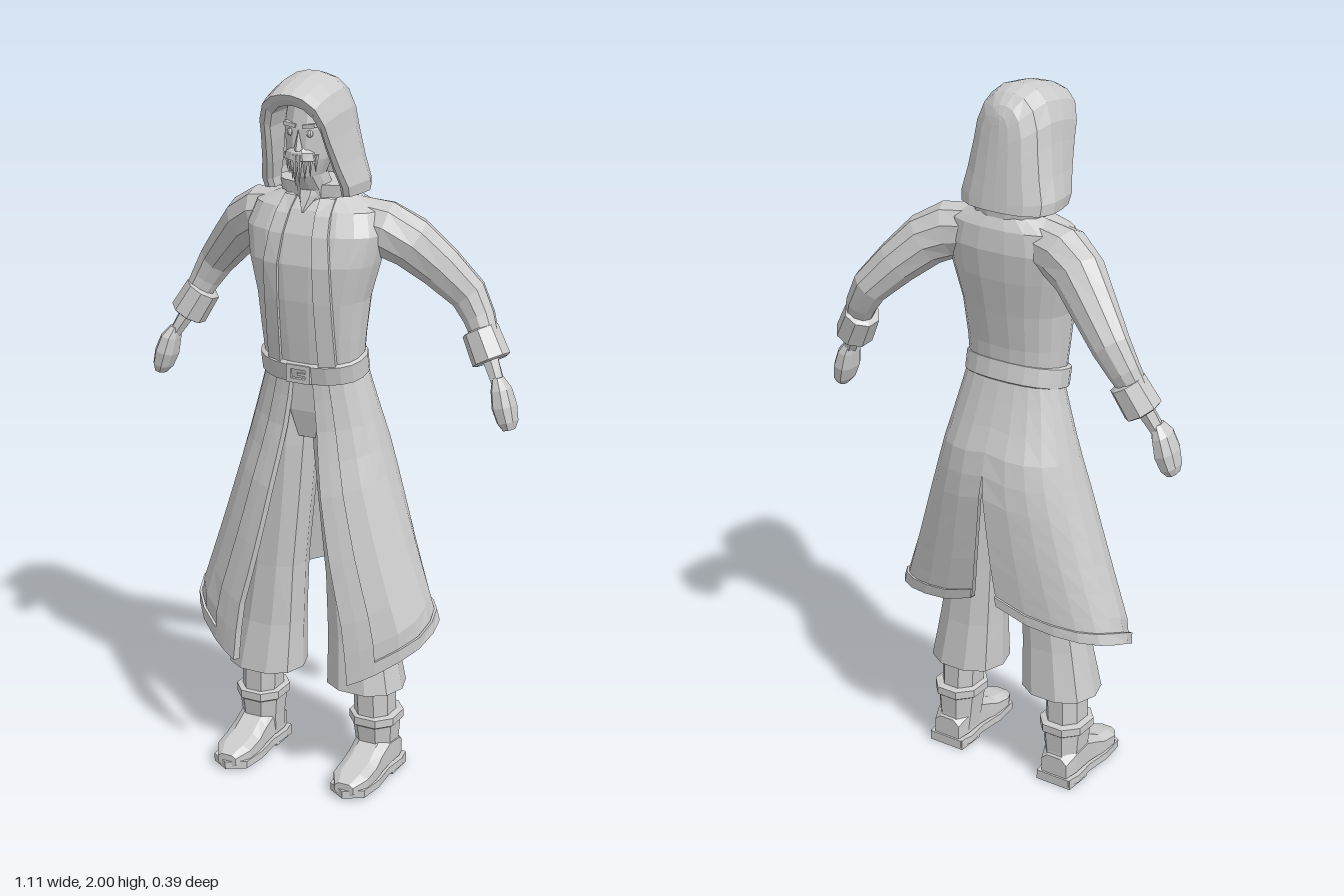
import * as THREE from 'three';

const V = (x, y, z) => new THREE.Vector3(x, y, z);
const Y = V(0, 1, 0), Z = V(0, 0, 1);
const cloth = new THREE.MeshStandardMaterial({ color: 0xcccccc, flatShading: true, side: THREE.DoubleSide });
cloth.name = 'pale grey';

const part = (name, geometry, parent) => {
  const m = new THREE.Mesh(geometry, cloth);
  m.name = name;
  parent.add(m);
  return m;
};

// linear lookup in rows [key, ...values] sorted by rising key
function lookup(rows, k) {
  let i = 0;
  while (i < rows.length - 2 && k > rows[i + 1][0]) i++;
  const [a, b] = [rows[i], rows[i + 1]];
  const t = THREE.MathUtils.clamp((k - a[0]) / (b[0] - a[0]), 0, 1);
  return a.slice(1).map((v, j) => v + (b[j + 1] - v) * t);
}

// surface from rows of points
function sheet(rows, closed = false, caps = false) {
  const n = rows[0].length, pos = [], idx = [];
  rows.flat().forEach(p => pos.push(p.x, p.y, p.z));
  for (let i = 0; i < rows.length - 1; i++)
    for (let j = 0; j < (closed ? n : n - 1); j++) {
      const k = (j + 1) % n, a = i * n + j, b = i * n + k;
      idx.push(a, b, b + n, a, b + n, a + n);
    }
  if (caps) {
    const last = (rows.length - 1) * n;
    for (let j = 1; j < n - 1; j++) idx.push(0, j + 1, j, last, last + j, last + j + 1);
  }
  const g = new THREE.BufferGeometry();
  g.setAttribute('position', new THREE.Float32BufferAttribute(pos, 3));
  g.setIndex(idx);
  g.computeVertexNormals();
  return g;
}

const bulge = (v, p) => Math.sign(v) * Math.pow(Math.abs(v), 2 / p);
// ring around dir: r1 along ref, r2 across, p sets the squareness
function ring(c, dir, r1, r2, n = 10, p = 2, ref = Z) {
  const d = dir.clone().normalize();
  const e1 = ref.clone().addScaledVector(d, -ref.dot(d)).normalize();
  const e2 = d.clone().cross(e1);
  return Array.from({ length: n }, (_, i) => {
    const a = (i + 0.5) / n * Math.PI * 2;
    return c.clone().addScaledVector(e1, r1 * bulge(Math.cos(a), p)).addScaledVector(e2, r2 * bulge(Math.sin(a), p));
  });
}
const loft = rings => sheet(rings, true, true);
// upright loft from rows [x, y, z, rz, rx]
const column = (rows, n, p) => loft(rows.map(([x, y, z, rz, rx]) => ring(V(x, y, z), Y, rz, rx, n, p)));

// torso rows: y, half width, front z, back z
const TORSO = [
  [1.19, 0.138, 0.085, -0.085], [1.3, 0.148, 0.1, -0.09], [1.4, 0.158, 0.112, -0.105], [1.5, 0.184, 0.116, -0.122],
  [1.58, 0.2, 0.098, -0.13], [1.64, 0.18, 0.066, -0.122], [1.67, 0.11, 0.035, -0.105], [1.7, 0.075, 0.02, -0.09]];
const torsoFront = (x, y, off) => {
  const [w, f, b] = lookup(TORSO, y);
  return V(x, y, (f + b) / 2 + (f - b) / 2 * Math.pow(1 - Math.min(1, x / w) ** 2.4, 1 / 2.4) + off);
};

// skirt rows: y, half width, front z, back z
const SKIRT = [
  [0.33, 0.355, 0.168, -0.155], [0.49, 0.36, 0.162, -0.163], [0.7, 0.29, 0.143, -0.177], [0.9, 0.228, 0.117, -0.182],
  [1.0, 0.2, 0.09, -0.168], [1.1, 0.172, 0.08, -0.125], [1.21, 0.142, 0.076, -0.09]];
const HEM = [[0, 0.335], [0.2, 0.41], [0.45, 0.485], [0.75, 0.505], [0.9, 0.53], [1, 0.565]];
// u runs from the front edge to the back slit, v from belt to hem
function skirtPoint(u, v, off = 0) {
  const y = 1.21 + (lookup(HEM, u)[0] - 1.21) * v;
  const [w, f, b] = lookup(SKIRT, y);
  const a0 = 0.16 + 0.31 * v, a1 = Math.PI - Math.max(0, v - 0.4) * 0.16;
  const a = a0 + (a1 - a0) * u, c = -0.02;
  const depth = Math.cos(a) > 0 ? f - c : c - b;
  return V((w + off) * bulge(Math.sin(a), 2.25), y, c + (depth + off) * bulge(Math.cos(a), 2.25));
}
const steps = (n, a = 0, b = 1) => Array.from({ length: n + 1 }, (_, i) => a + (b - a) * i / n);

// hood arches: half width, z at foot, z at crown, crown height
const ARCH = [[0.98, 0], [1, 0.1], [0.89, 0.3], [0.79, 0.55], [0.74, 0.72], [0.6, 0.88], [0.36, 0.97], [0.12, 1]];
const arch = ([w, zb, zt, top]) => [...ARCH.map(q => [...q, 1]), ...[...ARCH].reverse().map(q => [...q, -1])]
  .map(([fx, fy, s]) => V(s * w * fx, 1.685 + (top - 1.685) * fy, zb + (zt - zb) * fy));

function side() {
  const g = new THREE.Group();

  // coat skirt with raised front trim and hem
  part('coatSkirt', sheet(steps(10).reverse().map(v => steps(10).map(u => skirtPoint(u, v)))), g);
  part('skirtLining', sheet(steps(10).map(v => steps(10).map(u => skirtPoint(u, v, -0.012)))), g);
  part('skirtFrontTrim', sheet(steps(10).reverse().map(v =>
    [[0, -0.012], [0, 0.007], [0.05, 0.007], [0.1, 0.007], [0.1, 0]].map(([u, o]) => skirtPoint(u, v, o)))), g);
  part('skirtHem', sheet([[1, -0.012], [1, 0.007], [0.955, 0.007], [0.955, 0]].map(([v, o]) =>
    steps(10).map(u => skirtPoint(u, v, o)))), g);

  // raised coat lapel
  part('coatLapel', sheet([1.19, 1.3, 1.4, 1.5, 1.58, 1.63, 1.67].map(y => {
    const [a, b] = lookup([[1.19, 0.058, 0.102], [1.5, 0.052, 0.098], [1.67, 0.035, 0.075]], y);
    return [torsoFront(a, y, -0.004), torsoFront(a, y, 0.009), torsoFront(b, y, 0.009), torsoFront(b, y, -0.004)];
  })), g);

  // sleeve, turned cuff, wrist and hand
  const arm = [[0.1, 1.6, -0.04, 0.07], [0.18, 1.585, -0.052, 0.078], [0.245, 1.55, -0.078, 0.073], [0.315, 1.483, -0.115, 0.063],
    [0.385, 1.408, -0.145, 0.053], [0.42, 1.35, -0.14, 0.045], [0.45, 1.29, -0.125, 0.037]];
  const pts = arm.map(a => V(a[0], a[1], a[2]));
  part('sleeve', loft(pts.map((p, i) => ring(p,
    pts[Math.min(i + 1, 6)].clone().sub(pts[Math.max(i - 1, 0)]), arm[i][3] * 0.95, arm[i][3], 10))), g);
  const d = V(0.045, -0.08, 0.016), cuff = V(0.447, 1.28, -0.125);
  part('cuff', loft([[-0.5, 0.04], [-0.45, 0.053], [0.45, 0.056], [0.5, 0.046], [0.38, 0.032]].map(([t, r]) =>
    ring(cuff.clone().addScaledVector(d, t), d, r, r * 0.95, 8))), g);
  part('wrist', loft([ring(V(0.465, 1.25, -0.113), d, 0.026, 0.024, 6), ring(V(0.5, 1.185, -0.095), d, 0.024, 0.017, 6)]), g);
  const h = V(0.03, -0.12, 0.015);
  part('hand', loft([[0.497, 1.205, -0.095, 0.02, 0.014], [0.51, 1.175, -0.09, 0.038, 0.025], [0.522, 1.13, -0.086, 0.045, 0.03],
    [0.534, 1.09, -0.083, 0.038, 0.025], [0.54, 1.07, -0.08, 0.024, 0.015]].map(([x, y, z, a, b]) =>
    ring(V(x, y, z), h, a, b, 8, 2.5))), g);

  // wide trouser leg
  part('trouserLeg', column([[0.157, 0.275, -0.012, 0.099, 0.112], [0.142, 0.42, -0.014, 0.083, 0.098],
    [0.122, 0.6, -0.014, 0.079, 0.084], [0.1, 0.8, -0.012, 0.08, 0.082], [0.086, 0.97, -0.01, 0.082, 0.084],
    [0.07, 1.1, -0.008, 0.075, 0.075]], 10, 2.3), g);

  // boot: shaft, flared top, foot, sole and heel
  part('lowerLeg', column([[0.182, 0.15, -0.022, 0.064, 0.055], [0.178, 0.3, -0.018, 0.066, 0.058]], 8, 2.3), g);
  part('bootShaft', column([[0.186, 0.05, -0.035, 0.062, 0.056], [0.184, 0.1, -0.028, 0.066, 0.058],
    [0.183, 0.158, -0.025, 0.073, 0.064], [0.183, 0.164, -0.025, 0.081, 0.073], [0.183, 0.187, -0.025, 0.081, 0.073],
    [0.183, 0.191, -0.025, 0.066, 0.058]], 8, 2.3), g);
  part('bootFoot', loft([[-0.096, 0.044, 0.09], [-0.06, 0.056, 0.12], [0.0, 0.056, 0.13], [0.045, 0.054, 0.105],
    [0.09, 0.057, 0.08], [0.145, 0.056, 0.068], [0.187, 0.03, 0.05]].map(([z, w, top]) =>
    ring(V(0.187, top / 2 + 0.006, z), Z, top / 2 - 0.006, w, 8, 3, Y))), g);
  const outline = new THREE.Shape([[-0.052, 0.102], [0.052, 0.102], [0.062, 0.06], [0.055, -0.01], [0.062, -0.09], [0.053, -0.165],
    [0, -0.197], [-0.053, -0.165], [-0.062, -0.09], [-0.055, -0.01], [-0.062, 0.06]].map(q => new THREE.Vector2(...q)));
  const sole = new THREE.ExtrudeGeometry(outline, { depth: 0.022, bevelEnabled: false });
  part('bootSole', sole.rotateX(-Math.PI / 2).translate(0.187, 0.008, 0), g);
  part('bootHeel', new THREE.BoxGeometry(0.112, 0.03, 0.09).translate(0.187, 0.015, -0.054), g);

  // eye and brow
  part('eye', new THREE.SphereGeometry(0.01, 8, 6).translate(0.028, 1.85, 0.086), g);
  part('brow', new THREE.BoxGeometry(0.035, 0.01, 0.02).rotateZ(0.15).translate(0.028, 1.87, 0.083), g);
  // beard strands
  for (let i = 0; i < 4; i++) {
    const len = 0.085 - i * 0.013;
    part('beardStrand', new THREE.ConeGeometry(0.009, len, 5).rotateX(Math.PI)
      .translate(0.006 + i * 0.012, 1.795 - len / 2, 0.102 - i * 0.008), g);
  }
  return g;
}

export function createModel() {
  const model = new THREE.Group();
  model.name = 'hoodedFigure';

  const left = side();
  left.name = 'leftSide';
  const right = left.clone();
  right.name = 'rightSide';
  right.scale.x = -1;
  model.add(left, right);

  // coat body and hips
  part('coatBody', column(TORSO.map(([y, w, f, b]) => [0, y, (f + b) / 2, (f - b) / 2, w]), 20, 2.4), model);
  part('hips', column([[0, 1.0, -0.01, 0.06, 0.1], [0, 1.08, -0.01, 0.078, 0.135], [0, 1.2, -0.005, 0.076, 0.136]], 14, 2.3), model);

  // belt, higher at the back, with a buckle
  const tilt = V(0, 1, 0.22).normalize();
  part('belt', loft([[-0.03, 0], [-0.026, 0.008], [0.026, 0.008], [0.03, 0]].map(([t, o]) =>
    ring(V(0, 1.213, 0).addScaledVector(tilt, t), tilt, 0.09 + o, 0.145 + o, 20, 2.3))), model);
  const frame = new THREE.Shape([[-0.036, -0.025], [0.036, -0.025], [0.036, 0.025], [-0.036, 0.025]].map(q => new THREE.Vector2(...q)));
  frame.holes.push(new THREE.Path([[-0.022, -0.013], [-0.022, 0.013], [0.022, 0.013], [0.022, -0.013]].map(q => new THREE.Vector2(...q))));
  part('buckle', new THREE.ExtrudeGeometry(frame, { depth: 0.01, bevelEnabled: false }).translate(0, 1.195, 0.092), model);
  part('bucklePin', new THREE.BoxGeometry(0.03, 0.007, 0.008).translate(0.012, 1.195, 0.098), model);

  // hood, from the lining round the rim to the closed back
  part('hood', sheet([[0.1, 0.0, 0.04, 1.93], [0.1, 0.042, 0.14, 1.93], [0.112, 0.052, 0.158, 1.948], [0.128, 0.048, 0.164, 1.962],
    [0.132, 0.03, 0.135, 1.976], [0.139, 0, 0.08, 1.992], [0.142, -0.045, 0.01, 2], [0.126, -0.083, -0.04, 1.985],
    [0.085, -0.106, -0.07, 1.958], [0.04, -0.114, -0.082, 1.935], [0, -0.115, -0.086, 1.92]].map(arch)), model);
  part('hoodCollar', column([[0, 1.66, -0.035, 0.072, 0.105], [0, 1.705, -0.035, 0.074, 0.122]], 14, 2.2), model);

  // head, neck, nose and moustache
  part('head', column([[0, 1.6, -0.02, 0.055, 0.05], [0, 1.69, 0, 0.055, 0.045], [0, 1.735, 0.03, 0.06, 0.04],
    [0, 1.78, 0.028, 0.068, 0.058], [0, 1.86, 0.018, 0.074, 0.072], [0, 1.92, 0.01, 0.07, 0.066], [0, 1.95, 0, 0.045, 0.04]], 12, 2.2), model);
  part('throat', column([[0, 1.635, 0.072, 0.006, 0.003], [0, 1.675, 0.04, 0.025, 0.028], [0, 1.71, 0.025, 0.025, 0.035]], 6), model);
  part('nose', new THREE.ConeGeometry(0.014, 0.055, 4).translate(0, 1.832, 0.096), model);
  part('moustache', column([[0, 1.78, 0.08, 0.03, 0.048], [0, 1.8, 0.078, 0.03, 0.042], [0, 1.812, 0.076, 0.022, 0.022]], 8), model);

  return model;
}
